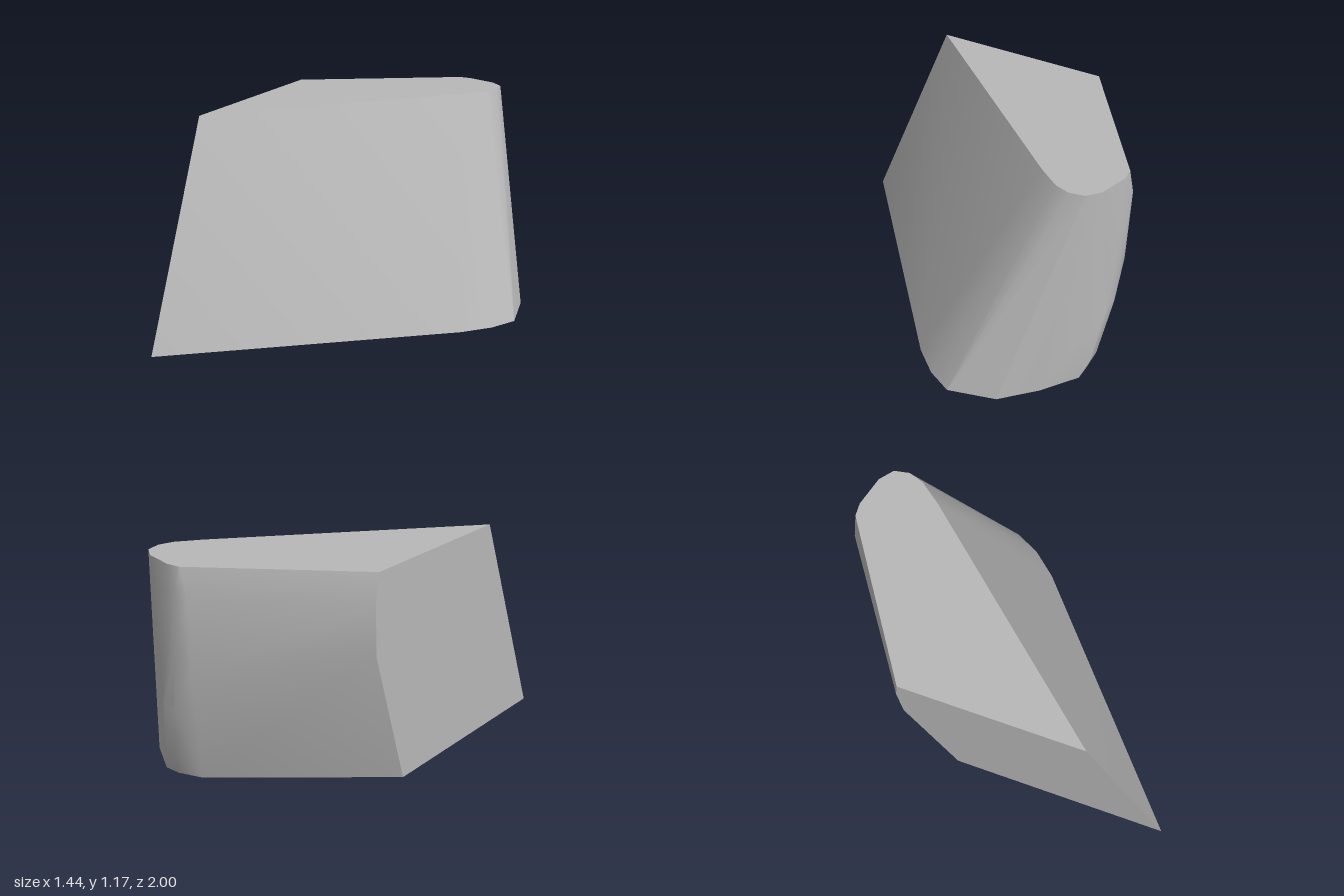
import * as THREE from 'three';
import { ConvexGeometry } from 'three/addons/geometries/ConvexGeometry.js';
import { toCreasedNormals } from 'three/addons/utils/BufferGeometryUtils.js';

export function createModel() {
  const group = new THREE.Group();
  group.name = 'taperedBlock';
  const grey = new THREE.MeshStandardMaterial({ color: 0xb8b8b8 });
  grey.name = 'grey';

  const HEIGHT = 1.175;

  // Outline of the base, as x, z
  const base = [
    [-0.72, 1.0], [0.53, -0.08], [0.65, -0.22], [0.72, -0.36], [0.65, -0.61],
    [0.48, -0.77], [0.29, -0.9], [0.2, -0.9], [0.07, -0.86], [-0.72, -0.21],
  ];
  // Outline of the flat top, as x, z
  const top = [
    [-0.72, 0.51], [0.25, -0.61], [0.34, -0.73], [0.365, -0.81], [0.35, -0.89],
    [0.28, -0.945], [0.12, -0.985], [0.05, -0.98], [-0.72, -0.45],
  ];
  // Bulge of the back wall, as x, y, z
  const bulge = [
    [0.25, 0.11, -0.94], [0.18, 0.11, -0.94], [0.2, 0.43, -0.985], [0.12, 0.43, -0.988],
    [0, 0.62, -0.975], [0.07, 0.8, -1.0], [0, 1.03, -0.985], [0.06, 1.05, -1.0],
    [-0.72, 0.755, -0.46], [-0.72, 1.03, -0.47],
  ];

  const points = [
    ...base.map(([x, z]) => new THREE.Vector3(x, 0, z)),
    ...top.map(([x, z]) => new THREE.Vector3(x, HEIGHT, z)),
    ...bulge.map((p) => new THREE.Vector3(...p)),
  ];

  // Smooth walls with sharp rims
  const body = new THREE.Mesh(toCreasedNormals(new ConvexGeometry(points), 0.5), grey);
  body.name = 'body';
  group.add(body);
  return group;
}
